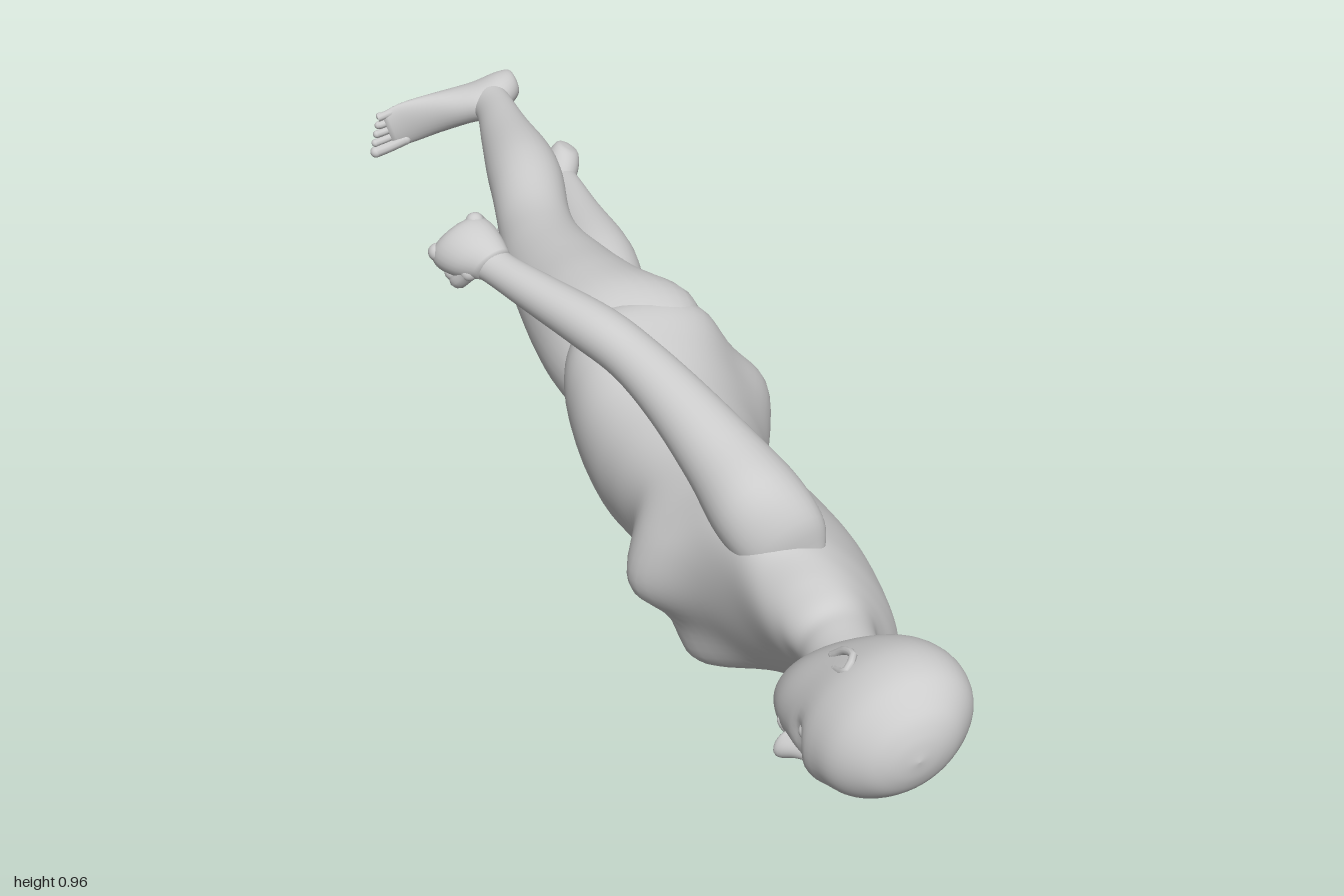
import * as THREE from 'three';

const V = (x, y, z) => new THREE.Vector3(x, y, z);
const material = new THREE.MeshStandardMaterial({ color: 0xcccccc });
const X = V(1, 0, 0), Y = V(0, 1, 0), Z = V(0, 0, 1);
const smoothstep = THREE.MathUtils.smoothstep;

// Smooth skin over elliptical sections [x, y, z, radiusA, radiusB] whose axes are a and b
function loft(name, stations, a, b, { sides = 28, steps = 4, shape } = {}) {
  const spline = points => new THREE.CatmullRomCurve3(points, false, 'catmullrom', 0.5);
  const centres = spline(stations.map(s => V(s[0], s[1], s[2])));
  const radii = spline(stations.map(s => V(s[3], s[4], 0)));
  const along = centres.getPoint(1).sub(centres.getPoint(0));
  if (V().crossVectors(a, b).dot(along) < 0) b = b.clone().negate();
  const rows = (stations.length - 1) * steps, pos = [], index = [];
  const add = p => { if (shape) shape(p); pos.push(p.x, p.y, p.z); };
  for (let i = 0; i <= rows; i++) {
    const c = centres.getPoint(i / rows), r = radii.getPoint(i / rows);
    for (let j = 0; j < sides; j++) {
      const t = j / sides * Math.PI * 2;
      add(c.clone().addScaledVector(a, Math.cos(t) * Math.max(r.x, 0.001))
        .addScaledVector(b, Math.sin(t) * Math.max(r.y, 0.001)));
      if (i < rows) {
        const p = i * sides + j, q = i * sides + (j + 1) % sides;
        index.push(p, q, q + sides, p, q + sides, p + sides);
      }
    }
  }
  // End caps
  const first = pos.length / 3, last = rows * sides;
  add(centres.getPoint(0));
  add(centres.getPoint(1));
  for (let j = 0; j < sides; j++) {
    const k = (j + 1) % sides;
    index.push(first, k, j, first + 1, last + j, last + k);
  }
  const g = new THREE.BufferGeometry();
  g.setAttribute('position', new THREE.Float32BufferAttribute(pos, 3));
  g.setIndex(index);
  g.computeVertexNormals();
  const mesh = new THREE.Mesh(g, material);
  mesh.name = name;
  return mesh;
}

function ellipsoid(name, x, y, z, rx, ry, rz) {
  const mesh = new THREE.Mesh(new THREE.SphereGeometry(1, 24, 16), material);
  mesh.name = name;
  mesh.position.set(x, y, z);
  mesh.scale.set(rx, ry, rz);
  return mesh;
}

// Round-ended tube through a few points, for fingers, toes and ears
function digit(name, points, radius) {
  const curve = new THREE.CatmullRomCurve3(points);
  const group = new THREE.Group();
  group.name = name;
  group.add(new THREE.Mesh(new THREE.TubeGeometry(curve, 10, radius, 10), material));
  for (const p of [points[0], points[points.length - 1]]) {
    group.add(ellipsoid(name + 'End', p.x, p.y, p.z, radius, radius, radius));
  }
  return group;
}

const bump = (x, y, sx, sy) => Math.exp(-((x / sx) ** 2) - (y / sy) ** 2);

// Buttock swelling, shared by the torso and the thighs so that they blend
function swellBack(p) {
  const back = smoothstep(-p.z, 0, 0.08);
  for (const s of [-1, 1]) p.z -= 0.03 * back * bump(p.x + 0.02 - s * 0.1, p.y + 0.04, 0.08, 0.1);
}

function torso() {
  return loft('torso', [
    [-0.01, -0.15, 0.01, 0.06, 0.05], [-0.01, -0.1, 0.015, 0.17, 0.1], [-0.01, -0.03, 0.024, 0.223, 0.138],
    [-0.013, 0.05, 0.04, 0.21, 0.144], [-0.022, 0.14, 0.052, 0.175, 0.138], [-0.028, 0.22, 0.053, 0.157, 0.128],
    [-0.02, 0.32, 0.046, 0.16, 0.126], [-0.01, 0.42, 0.038, 0.178, 0.133], [-0.006, 0.52, 0.018, 0.197, 0.12],
    [0, 0.595, 0.004, 0.198, 0.096], [0, 0.635, 0.002, 0.17, 0.08], [-0.002, 0.663, 0.002, 0.11, 0.067],
    [-0.005, 0.69, 0.005, 0.067, 0.06], [-0.01, 0.73, 0.01, 0.057, 0.057], [-0.015, 0.8, 0.015, 0.055, 0.055],
  ], X, Z, {
    sides: 64, steps: 6,
    // Chest and buttock swellings
    shape: p => {
      const front = smoothstep(p.z, 0.02, 0.1);
      for (const s of [-1, 1]) p.z += 0.06 * front * bump(p.x + 0.015 - s * 0.105, p.y - 0.42, 0.085, 0.075);
      swellBack(p);
    },
  });
}

function head() {
  const group = new THREE.Group();
  group.name = 'head';
  group.position.x = -0.018;
  group.add(loft('skull', [
    [0, 0.715, 0.075, 0.012, 0.015], [0, 0.725, 0.07, 0.038, 0.052], [0, 0.765, 0.048, 0.066, 0.088],
    [0, 0.82, 0.02, 0.085, 0.116], [0, 0.88, 0.007, 0.098, 0.127], [0, 0.935, 0.003, 0.091, 0.117],
    [0, 0.975, 0.002, 0.063, 0.082], [0, 0.993, 0.002, 0.034, 0.045], [0, 1, 0.002, 0.001, 0.001],
  ], X, Z, {
    sides: 48, steps: 6,
    // Eye sockets and brow
    shape: p => {
      if (p.z < 0.04) return;
      for (const s of [-1, 1]) p.z -= 0.014 * bump(p.x - s * 0.038, p.y - 0.853, 0.022, 0.016);
      p.z += 0.006 * bump(p.x, p.y - 0.885, 0.06, 0.018);
    },
  }));
  group.add(loft('nose', [
    [0, 0.865, 0.118, 0.009, 0.012], [0, 0.835, 0.132, 0.012, 0.016], [0, 0.812, 0.145, 0.017, 0.022],
    [0, 0.801, 0.14, 0.016, 0.018], [0, 0.796, 0.134, 0.003, 0.003],
  ], X, Z));
  group.add(ellipsoid('upperLip', 0, 0.78, 0.13, 0.026, 0.007, 0.01));
  group.add(ellipsoid('lowerLip', 0, 0.768, 0.126, 0.022, 0.008, 0.01));
  group.add(ellipsoid('chin', 0, 0.74, 0.11, 0.026, 0.02, 0.02));
  for (const s of [-1, 1]) {
    group.add(ellipsoid('eye', s * 0.037, 0.853, 0.103, 0.016, 0.011, 0.014));
    group.add(digit('earRim', [V(s * 0.085, 0.84, 0.018), V(s * 0.094, 0.866, 0.008),
      V(s * 0.097, 0.855, -0.014), V(s * 0.091, 0.828, -0.008), V(s * 0.08, 0.808, 0.01)], 0.006));
  }
  return group;
}

function arm(s) {
  const group = new THREE.Group();
  group.name = s > 0 ? 'leftArm' : 'rightArm';
  group.position.x = 0.006;
  const across = V(s * 0.88, 0.47, 0);
  // The left arm is held further forward than the right, most of all at the shoulder
  const place = ([x, y, z, ...radii]) => {
    const upper = smoothstep(y, 0, 0.45);
    return [s * x, y, z + s * 0.012 + (s * 0.017 - 0.006) * upper, ...radii];
  };
  const at = (...p) => V(...place(p));
  group.add(loft('armSkin', [
    [0.1, 0.625, 0.005, 0.02, 0.03], [0.145, 0.61, 0.006, 0.052, 0.064], [0.195, 0.562, 0.006, 0.073, 0.073],
    [0.245, 0.48, 0.004, 0.061, 0.061], [0.303, 0.385, 0.006, 0.049, 0.049], [0.352, 0.3, 0.012, 0.043, 0.042],
    [0.395, 0.225, 0.028, 0.044, 0.042], [0.445, 0.13, 0.058, 0.036, 0.035], [0.48, 0.065, 0.08, 0.027, 0.03],
    [0.492, 0.04, 0.088, 0.029, 0.034],
  ].map(place), across, Z, { sides: 32, steps: 5 }));
  // Loosely closed fist
  group.add(loft('palm', [
    [0.486, 0.058, 0.083, 0.024, 0.03], [0.5, 0.032, 0.093, 0.034, 0.046], [0.512, 0.002, 0.1, 0.039, 0.054],
    [0.52, -0.02, 0.103, 0.034, 0.05], [0.522, -0.034, 0.104, 0.014, 0.036],
  ].map(place), across, Z));
  for (let i = 0; i < 4; i++) {
    const z = 0.065 + i * 0.025;
    group.add(digit('finger', [at(0.53, -0.01, z), at(0.518, -0.026, z), at(0.494, -0.026, z),
      at(0.482, -0.006, z), at(0.494, 0.006, z)], 0.0145));
  }
  group.add(digit('thumb', [at(0.496, 0.04, 0.12), at(0.484, 0.018, 0.142), at(0.478, -0.008, 0.135)], 0.014));
  return group;
}

function leg(s) {
  const group = new THREE.Group();
  group.name = s > 0 ? 'leftLeg' : 'rightLeg';
  // The stance leans a little toward the right leg below the knees
  const lean = y => -0.012 - 0.027 * smoothstep(-y, 0.15, 1);
  group.add(loft('legSkin', [
    [0.098, 0.09, 0.028, 0.03, 0.05], [0.104, 0.02, 0.024, 0.085, 0.1], [0.116, -0.07, 0.02, 0.108, 0.12],
    [0.126, -0.17, 0.027, 0.103, 0.111], [0.13, -0.28, 0.033, 0.086, 0.095], [0.13, -0.4, 0.035, 0.069, 0.077],
    [0.129, -0.49, 0.022, 0.06, 0.068], [0.129, -0.6, -0.006, 0.064, 0.068], [0.127, -0.68, -0.018, 0.06, 0.064],
    [0.122, -0.8, -0.028, 0.043, 0.048], [0.118, -0.9, -0.038, 0.03, 0.037], [0.117, -0.965, -0.036, 0.03, 0.038],
  ].map(p => [s * p[0] + lean(p[1]), ...p.slice(1)]), X, Z, { sides: 36, steps: 5, shape: swellBack }));

  // Foot with a flat sole, the left one turned further outward
  const foot = new THREE.Group();
  foot.name = 'foot';
  foot.position.set(s * 0.117 + lean(-1), -1, -0.038);
  foot.rotation.y = s > 0 ? 0.45 : -0.31;
  foot.add(loft('footSkin', [
    [0, 0.026, -0.066, 0.006, 0.008], [0, 0.03, -0.06, 0.023, 0.028], [0, 0.04, -0.033, 0.032, 0.042],
    [0, 0.046, 0.01, 0.033, 0.05], [0, 0.033, 0.055, 0.036, 0.04], [0, 0.019, 0.11, 0.041, 0.025],
    [0, 0.011, 0.16, 0.043, 0.014], [0, 0.009, 0.195, 0.038, 0.01],
  ], X, Y, { shape: p => { p.y = Math.max(p.y, 0); } }));
  for (let i = 0; i < 5; i++) {
    const x = s * (-0.03 + i * 0.0155), r = i ? 0.0075 : 0.011;
    foot.add(digit('toe', [V(x, r + 0.002, 0.17), V(x * 1.03, r + 0.002, 0.205),
      V(x * 1.04, r, 0.242 - i * 0.009 - r)], r));
  }
  group.add(foot);
  return group;
}

export function createModel() {
  const body = new THREE.Group();
  body.name = 'figure';
  body.add(torso(), head());
  for (const s of [-1, 1]) body.add(arm(s), leg(s));
  // Lay the upright figure along z, rolled so that it faces down toward -x
  const across = V(0.57, -0.82, 0).normalize();
  const facing = V().crossVectors(across, Z);
  body.applyMatrix4(new THREE.Matrix4().makeBasis(across, Z, facing).setPosition(0.085, 0.548, 0));
  const model = new THREE.Group();
  model.name = 'recliningFigure';
  model.add(body);
  return model;
}
